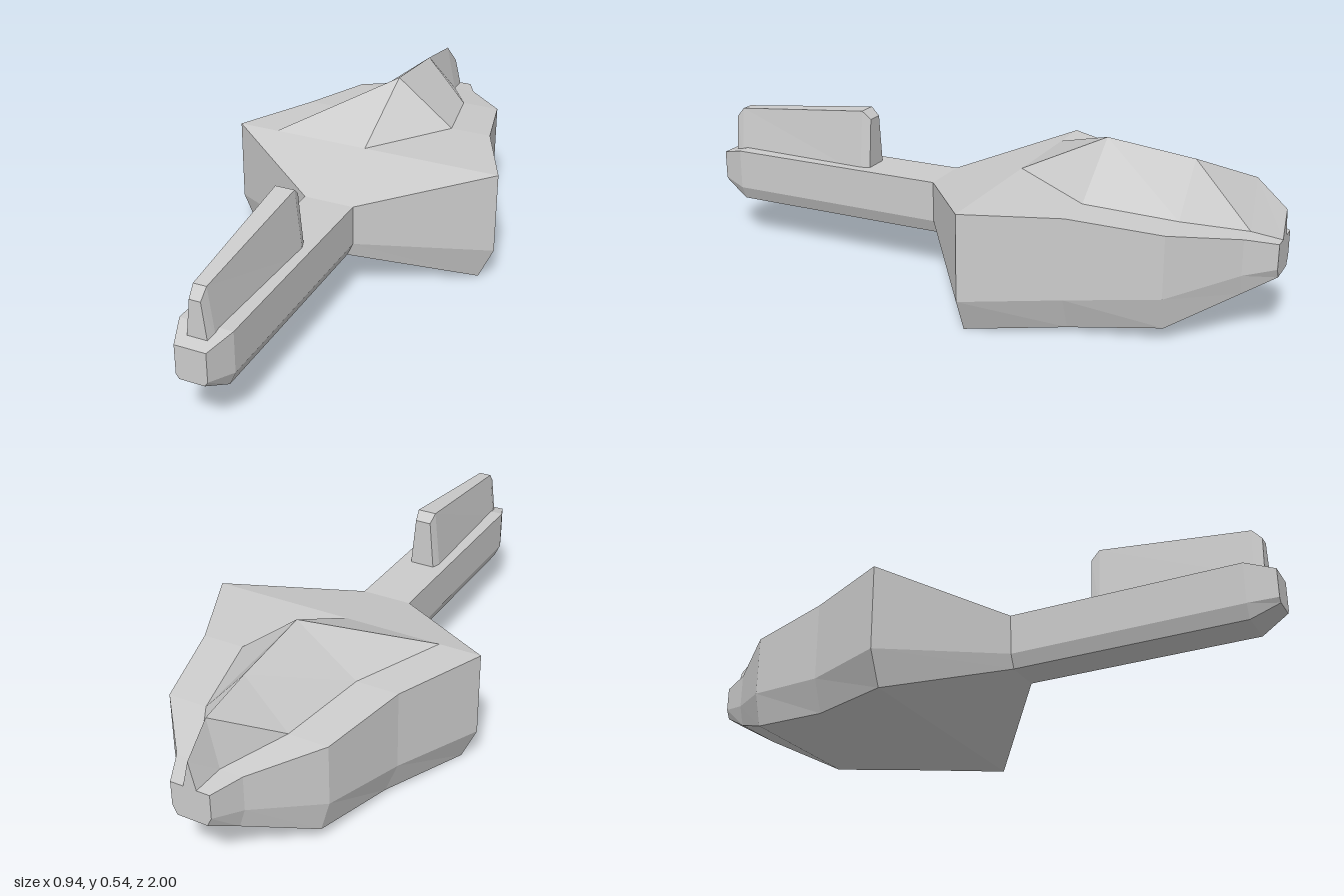
import * as THREE from 'three';

const material = new THREE.MeshStandardMaterial({ color: 0xcccccc, flatShading: true });

// Skin a row of cross-sections (front to back, each clockwise seen from the front) and cap both ends.
function loft(name, rings) {
  const pos = [];
  const tri = (...pts) => pts.forEach((p) => pos.push(...p));
  const n = rings[0].length;
  for (let s = 0; s < rings.length - 1; s++) {
    const a = rings[s], b = rings[s + 1];
    for (let i = 0; i < n; i++) {
      const j = (i + 1) % n;
      tri(a[i], a[j], b[j]);
      tri(a[i], b[j], b[i]);
    }
  }
  const first = rings[0], last = rings[rings.length - 1];
  for (let i = 1; i < n - 1; i++) {
    tri(first[0], first[i + 1], first[i]);
    tri(last[0], last[i], last[i + 1]);
  }
  const geometry = new THREE.BufferGeometry();
  geometry.setAttribute('position', new THREE.Float32BufferAttribute(pos, 3));
  geometry.computeVertexNormals();
  const mesh = new THREE.Mesh(geometry, material);
  mesh.name = name;
  return mesh;
}

// Hull section: bottom, chamfer, side, flat shoulder, then the central ridge.
function hullRing([z, bottomW, sideW, shoulderW, bottomY, chamferY, topY, ridgeY]) {
  const half = [[bottomW, bottomY], [sideW, chamferY], [sideW, topY], [shoulderW, topY]];
  return [
    [0, bottomY, z],
    ...half.map(([x, y]) => [-x, y, z]),
    [0, ridgeY, z],
    ...half.reverse().map(([x, y]) => [x, y, z]),
  ];
}

// Fin section: a trapezoid standing on the neck.
function finRing([z, baseW, topW, topY]) {
  const baseY = 0.3;
  return [[-baseW, baseY, z], [-topW, topY, z], [topW, topY, z], [baseW, baseY, z]];
}

export function createModel() {
  const group = new THREE.Group();
  group.name = 'spacecraft';

  // Slender neck widening into the broad, ridged rear body
  group.add(loft('hull', [
    [1.0, 0.04, 0.05, 0.03, 0.19, 0.205, 0.3, 0.3],
    [0.91, 0.065, 0.085, 0.06, 0.145, 0.19, 0.325, 0.325],
    [0.14, 0.065, 0.085, 0.06, 0.145, 0.19, 0.325, 0.325],
    [-0.14, 0.42, 0.47, 0.33, 0, 0.11, 0.39, 0.39],
    [-0.43, 0.3, 0.34, 0.2, 0.015, 0.12, 0.38, 0.535],
    [-0.715, 0.24, 0.27, 0.14, 0.045, 0.15, 0.35, 0.505],
    [-0.905, 0.09, 0.11, 0.035, 0.135, 0.2, 0.315, 0.475],
    [-1.0, 0.05, 0.065, 0.022, 0.19, 0.22, 0.3, 0.39],
  ].map(hullRing)));

  // Tapered upright fin on the neck
  group.add(loft('neckFin', [
    [0.96, 0.033, 0.018, 0.43],
    [0.93, 0.042, 0.021, 0.463],
    [0.435, 0.055, 0.032, 0.517],
    [0.405, 0.045, 0.027, 0.49],
  ].map(finRing)));

  return group;
}
